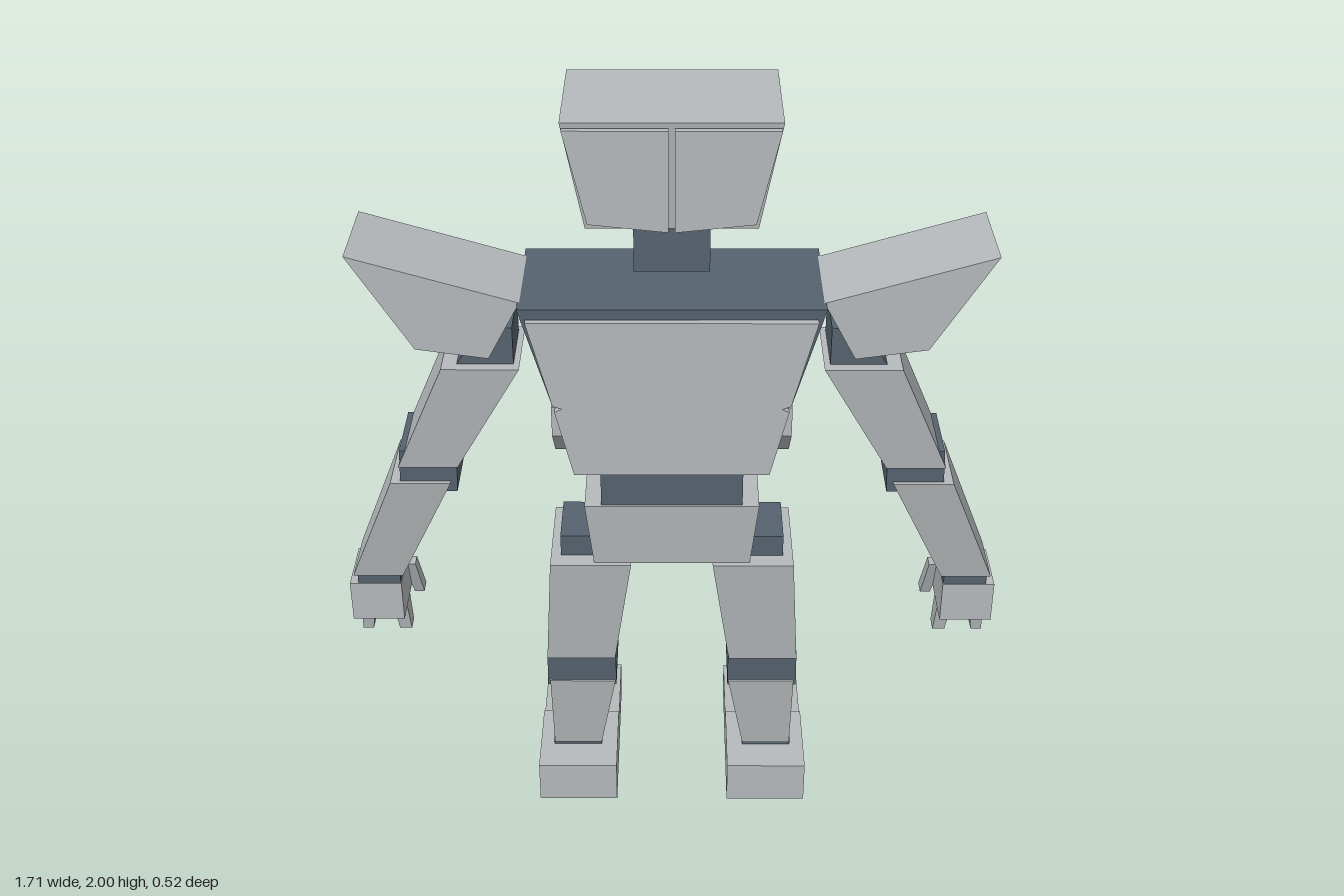
import * as THREE from 'three';

export function createModel() {
  const group = new THREE.Group();
  const mat = (name, color) => {
    const m = new THREE.MeshStandardMaterial({ color });
    m.name = name;
    return m;
  };
  const armor = mat('armor grey', 0xb6babc);
  const dark = mat('joint slate', 0x566370);
  const green = mat('eye green', 0x43b262);

  const add = (name, geometry, material) => {
    const mesh = new THREE.Mesh(geometry, material);
    mesh.name = name;
    group.add(mesh);
  };

  // Block between two rectangles, each [x0, x1, z0, z1]; slope raises the top on its -z side
  const block = (name, material, y0, bottom, y1, top = bottom) => {
    const g = new THREE.BoxGeometry(1, 1, 1);
    const p = g.attributes.position;
    for (let i = 0; i < p.count; i++) {
      const r = p.getY(i) > 0 ? top : bottom;
      const xs = [Math.min(r[0], r[1]), Math.max(r[0], r[1])];
      const zs = [Math.min(r[2], r[3]), Math.max(r[2], r[3])];
      p.setXYZ(i, xs[p.getX(i) > 0 ? 1 : 0], p.getY(i) > 0 ? y1 : y0, zs[p.getZ(i) > 0 ? 1 : 0]);
    }
    g.computeVertexNormals();
    add(name, g, material);
  };

  // Outline in x, y pushed from z0 to z1
  const plate = (name, material, points, z0, z1) => {
    const shape = new THREE.Shape(points.map(([x, y]) => new THREE.Vector2(x, y)));
    const g = new THREE.ExtrudeGeometry(shape, { depth: z1 - z0, bevelEnabled: false });
    add(name, g.translate(0, 0, z0), material);
  };

  // Outline in z, y pushed from x0 to x1
  const profile = (name, material, points, x0, x1) => {
    const shape = new THREE.Shape(points.map(([z, y]) => new THREE.Vector2(z, y)));
    const g = new THREE.ExtrudeGeometry(shape, { depth: x1 - x0, bevelEnabled: false });
    add(name, g.rotateY(-Math.PI / 2).translate(x1, 0, 0), material);
  };

  const mirrored = (pts) => [...pts, ...pts.map(([x, y]) => [-x, y]).reverse()];

  // Head, brow and face
  block('head', armor, 1.73, [-0.2, 0.2, -0.065, 0.205], 2, [-0.25, 0.25, -0.097, 0.237]);
  block('brow', armor, 1.915, [-0.237, 0.237, -0.155, -0.105], 1.962, [-0.256, 0.256, -0.155, -0.105]);
  plate('face', armor, mirrored([[0.205, 1.89], [0.15, 1.76], [0.085, 1.72]]), -0.167, -0.12);
  block('neck', dark, 1.6, [-0.09, 0.09, -0.02, 0.163], 1.74);

  // Torso
  block('torso', dark, 1.085, [-0.24, 0.24, -0.08, 0.21], 1.535, [-0.365, 0.365, -0.096, 0.234]);
  plate('backPlate', armor, mirrored([[0.345, 1.51], [0.287, 1.285], [0.265, 1.277], [0.283, 1.268], [0.24, 1.09]]), 0.237, 0.255);
  plate('collarPlate', armor, mirrored([[0.35, 1.51], [0.295, 1.3]]), -0.136, -0.094);
  profile('chest', armor, [[-0.09, 1.47], [-0.135, 1.47], [-0.205, 1.375], [-0.155, 1.15], [-0.06, 1.15]], -0.295, 0.295);
  block('chestUnderside', dark, 1.135, [-0.25, 0.25, -0.135, -0.05], 1.155);
  block('waist', dark, 0.95, [-0.178, 0.178, -0.06, 0.2], 1.1);
  block('pelvis', armor, 0.78, [-0.2, 0.2, -0.055, 0.192], 0.965, [-0.22, 0.22, -0.068, 0.207]);

  for (const [s, side] of [[1, 'left'], [-1, 'right']]) {
    const at = (x0, x1, z0, z1) => [s * x0, s * x1, z0, z1];
    const flip = (pts) => pts.map(([x, y]) => [s * x, y]);
    const n = (part) => side + part;

    // Head details
    plate(n('HeadPanel'), armor, flip([[0.007, 1.99], [0.245, 1.99], [0.192, 1.765], [0.007, 1.745]]), 0.243, 0.26);
    block(n('Eye'), green, 1.847, at(0.08, 0.165, -0.185, -0.166), 1.872);

    // Lower side of the torso
    const flank = [[0.235, 1.27], [0.235, 1.19], [0.15, 1.1], [-0.06, 1.1], [-0.1, 1.15], [-0.1, 1.27]];
    profile(n('Flank'), armor, flank, s > 0 ? 0.23 : -0.292, s > 0 ? 0.292 : -0.23);

    // Shoulder and arm
    plate(n('ShoulderPad'), armor, flip([[0.36, 1.535], [0.765, 1.655], [0.615, 1.41], [0.44, 1.385]]), -0.053, 0.2);
    block(n('ShoulderJoint'), dark, 1.335, at(0.385, 0.53, -0.02, 0.155), 1.445, at(0.385, 0.46, -0.02, 0.155));
    block(n('UpperArm'), armor, 1.045, at(0.54, 0.69, -0.05, 0.152), 1.345, at(0.37, 0.56, -0.04, 0.183));
    block(n('Elbow'), dark, 0.97, at(0.545, 0.69, -0.045, 0.145), 1.09, at(0.54, 0.685, -0.045, 0.145));
    block(n('Forearm'), armor, 0.675, at(0.712, 0.843, -0.062, 0.103), 1.0, at(0.56, 0.713, -0.055, 0.157));
    block(n('Wrist'), dark, 0.635, at(0.722, 0.835, -0.05, 0.088), 0.685);

    // Hand
    block(n('Hand'), armor, 0.525, at(0.72, 0.857, -0.072, 0.093), 0.642);
    block(n('OuterFinger'), armor, 0.41, at(0.828, 0.857, -0.062, -0.018), 0.53, at(0.81, 0.85, -0.068, 0));
    block(n('InnerFinger'), armor, 0.41, at(0.722, 0.755, -0.062, -0.018), 0.53, at(0.73, 0.77, -0.068, 0));
    block(n('Thumb'), armor, 0.495, at(0.688, 0.715, -0.117, -0.075), 0.615, at(0.7, 0.735, -0.072, -0.035));

    // Leg
    block(n('Hip'), dark, 0.77, at(0.195, 0.287, 0, 0.16), 0.842);
    block(n('Thigh'), armor, 0.455, at(0.152, 0.333, -0.047, 0.173), 0.782, at(0.105, 0.313, -0.065, 0.206));
    block(n('Knee'), dark, 0.358, at(0.15, 0.335, -0.042, 0.163), 0.47, at(0.15, 0.333, -0.045, 0.168));
    block(n('Shin'), armor, 0.135, at(0.195, 0.325, -0.01, 0.14), 0.375, at(0.152, 0.328, -0.04, 0.17));
    block(n('Ankle'), dark, 0.11, at(0.195, 0.327, -0.018, 0.132), 0.14);
    block(n('Heel'), armor, 0, at(0.152, 0.365, -0.01, 0.222), 0.12);
    block(n('Toe'), armor, 0, at(0.152, 0.365, -0.258, 0), 0.09);
  }
  return group;
}
